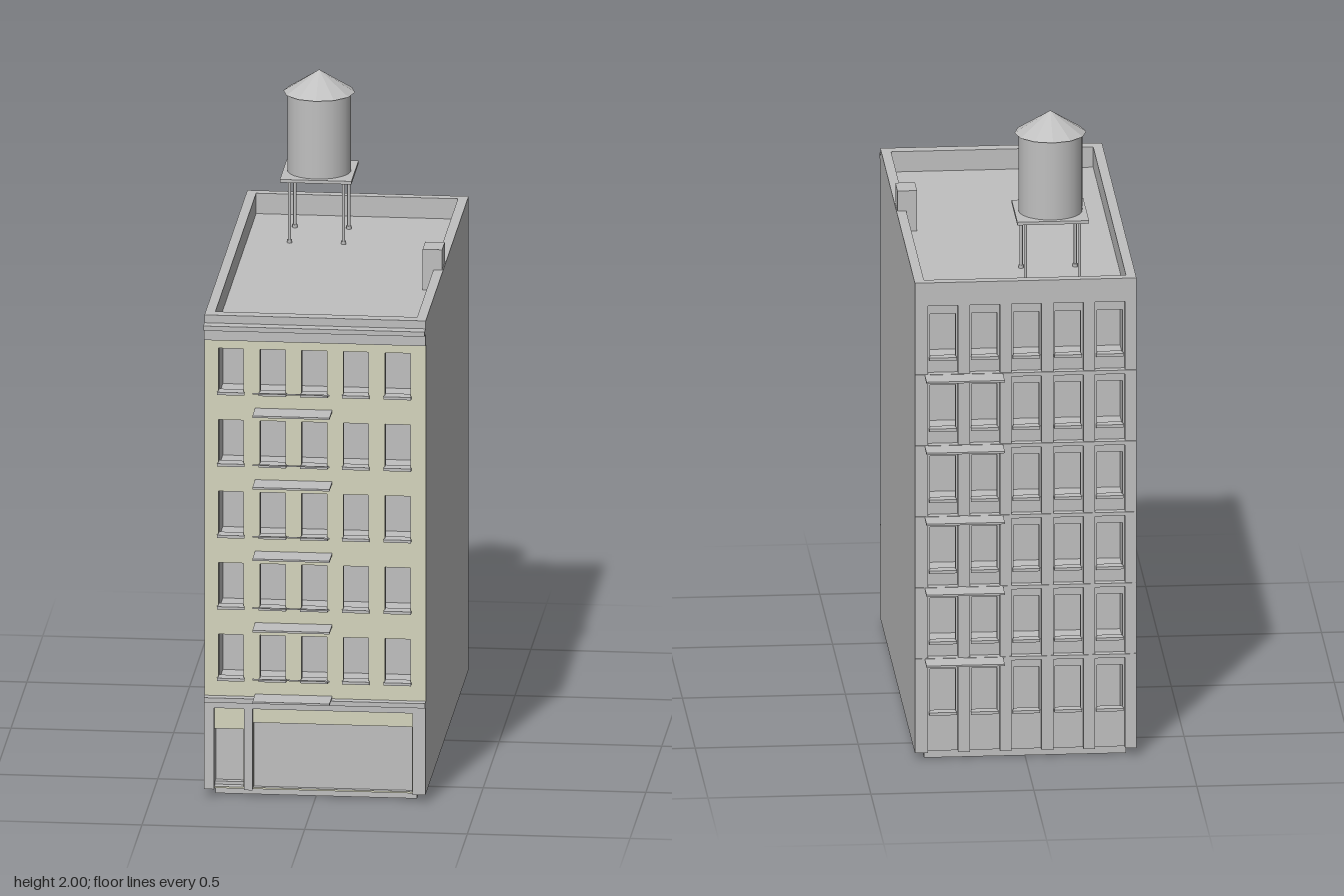
import * as THREE from 'three';

export function createModel() {
  const model = new THREE.Group();
  const stone = new THREE.MeshStandardMaterial({ color: 0xc0c0c0 });
  stone.name = 'grey stone';
  const brick = new THREE.MeshStandardMaterial({ color: 0xd6d6be });
  brick.name = 'pale olive brick';

  const add = (name, geometry, material = stone, parent = model) => {
    const mesh = new THREE.Mesh(geometry, material);
    mesh.name = name;
    parent.add(mesh);
    return mesh;
  };
  // box given by its extents along each axis
  const block = (name, [x0, x1], [y0, y1], [z0, z1], parent = model) => {
    const g = new THREE.BoxGeometry(x1 - x0, y1 - y0, z1 - z0);
    g.translate((x0 + x1) / 2, (y0 + y1) / 2, (z0 + z1) / 2);
    return add(name, g, stone, parent);
  };
  const rect = (path, x0, x1, y0, y1) => {
    path.moveTo(x0, y0);
    path.lineTo(x1, y0);
    path.lineTo(x1, y1);
    path.lineTo(x0, y1);
    path.closePath();
    return path;
  };
  const group = (name) => {
    const g = new THREE.Group();
    g.name = name;
    model.add(g);
    return g;
  };
  // wall slab with rectangular openings
  const wall = (name, y0, y1, z0, z1, openings, faceMaterial) => {
    const shape = rect(new THREE.Shape(), -W, W, y0, y1);
    openings.forEach((o) => shape.holes.push(rect(new THREE.Path(), ...o)));
    const g = new THREE.ExtrudeGeometry(shape, { depth: z1 - z0, bevelEnabled: false });
    g.translate(0, 0, z0);
    add(name, g, [faceMaterial, stone]);
  };

  const W = 0.34, FRONT = 0.665, BACK = -0.68;
  const STOREY = 0.228, COLS = [-2, -1, 0, 1, 2].map((i) => i * 0.128 - 0.003);
  const windowsOn = (first) => {
    const list = [];
    for (let r = first; r < 5; r++) {
      const y = 0.378 + r * STOREY;
      COLS.forEach((x) => list.push([x - 0.039, x + 0.039, y, y + 0.138]));
    }
    return list;
  };
  const frontWindows = windowsOn(0), backWindows = windowsOn(-1);

  // shell
  block('plinth', [-0.31, 0.31], [0, 0.026], [-0.65, 0.635]);
  wall('frontWall', 0.025, 1.46, 0.635, FRONT,
    [...frontWindows, [-0.31, -0.22, 0.03, 0.215], [-0.19, 0.297, 0.03, 0.237]], brick);
  wall('backWall', 0.025, 1.47, -0.66, -0.64, backWindows, stone);
  for (const s of [-1, 1]) {
    const xs = s < 0 ? [-W, -0.31] : [0.31, W];
    block('sideWall', xs, [0.025, 1.535], [-0.66, 0.635]);
  }
  block('groundSlab', [-0.335, 0.335], [0.024, 0.04], [-0.65, 0.64]);
  block('innerCore', [-0.312, 0.312], [0.03, 1.46], [-0.42, 0.4]);
  for (let r = 0; r < 5; r++) {
    const y = 0.325 + r * STOREY;
    block('floorSlab', [-0.312, 0.312], [y - 0.012, y], [-0.645, 0.64]);
  }

  // roof, parapet and cornice
  block('roof', [-0.312, 0.312], [1.455, 1.47], [-0.655, 0.64]);
  block('frontParapet', [-W, W], [1.46, 1.535], [0.633, FRONT]);
  block('backParapet', [-W, W], [1.46, 1.535], [BACK, -0.65]);
  block('corniceFrieze', [-W, W], [1.457, 1.495], [FRONT, 0.68]);
  block('corniceShelf', [-W, W], [1.495, 1.51], [FRONT, 0.708]);
  block('corniceCap', [-W, W], [1.51, 1.535], [FRONT, 0.672]);
  block('chimney', [0.277, 0.337], [1.46, 1.6], [0.04, 0.122]);

  // window sills
  const sills = group('windowSills');
  frontWindows.forEach(([x0, x1, y]) =>
    block('frontSill', [x0 - 0.003, x1 + 0.003], [y - 0.008, y + 0.001], [0.64, 0.677], sills));
  backWindows.forEach(([x0, x1, y]) =>
    block('backSill', [x0 - 0.003, x1 + 0.003], [y - 0.008, y + 0.001], [-0.674, -0.645], sills));

  // shop front
  const shop = group('shopFront');
  block('shopGlass', [-0.2, 0.3], [0.027, 0.24], [0.64, 0.65], shop);
  block('door', [-0.312, -0.218], [0.027, 0.217], [0.61, 0.62], shop);
  for (const xs of [[-W, -0.31], [-0.217, -0.192], [0.3, W]])
    block('shopPier', xs, [0.025, 0.287], [FRONT - 0.01, 0.68], shop);
  block('shopFascia', [-W, W], [0.285, 0.305], [FRONT - 0.01, 0.682], shop);
  block('shopCornice', [-W, W], [0.305, 0.32], [FRONT - 0.01, 0.692], shop);

  // rear pilasters and floor bands
  const rear = group('rearFrame');
  for (let i = 0; i < 6; i++) {
    const x = (i - 2.5) * 0.128 - 0.003;
    const xs = i === 0 ? [-W, x + 0.018] : i === 5 ? [x - 0.018, W] : [x - 0.018, x + 0.018];
    block('pilaster', xs, [0.025, 1.465], [BACK, -0.655], rear);
  }
  for (let r = 0; r < 5; r++) {
    const y = 0.325 + r * STOREY;
    block('floorBand', [-W, W], [y - 0.008, y + 0.004], [-0.684, -0.655], rear);
  }

  // fire escapes
  const escapes = group('fireEscapes');
  for (let r = 0; r < 5; r++) {
    const y = 0.325 + r * STOREY;
    block('frontLanding', [-0.185, 0.052], [y - 0.003, y + 0.003], [0.66, 0.75], escapes);
    block('frontRail', [-0.185, 0.052], [y + 0.072, y + 0.076], [0.747, 0.75], escapes);
    block('rearLanding', [0.07, 0.31], [y - 0.003, y + 0.003], [-0.755, -0.66], escapes);
  }

  // water tank on legs
  const tank = group('waterTank');
  tank.position.set(-0.095, 0, -0.432);
  for (const sx of [-1, 1]) for (const sz of [-1, 1]) {
    const leg = add('tankLeg', new THREE.CylinderGeometry(0.005, 0.005, 0.21, 8), stone, tank);
    leg.position.set(sx * 0.083, 1.568, sz * 0.083);
    const foot = add('tankFoot', new THREE.CylinderGeometry(0.008, 0.008, 0.01, 8), stone, tank);
    foot.position.set(sx * 0.083, 1.475, sz * 0.083);
  }
  block('tankPlatform', [-0.11, 0.11], [1.669, 1.679], [-0.112, 0.112], tank);
  add('tankBarrel', new THREE.CylinderGeometry(0.098, 0.098, 0.255, 24), stone, tank).position.y = 1.805;
  const cone = new THREE.ConeGeometry(0.11, 0.07, 12).toNonIndexed();
  cone.computeVertexNormals();
  add('tankRoof', cone, stone, tank).position.y = 1.965;

  return model;
}
